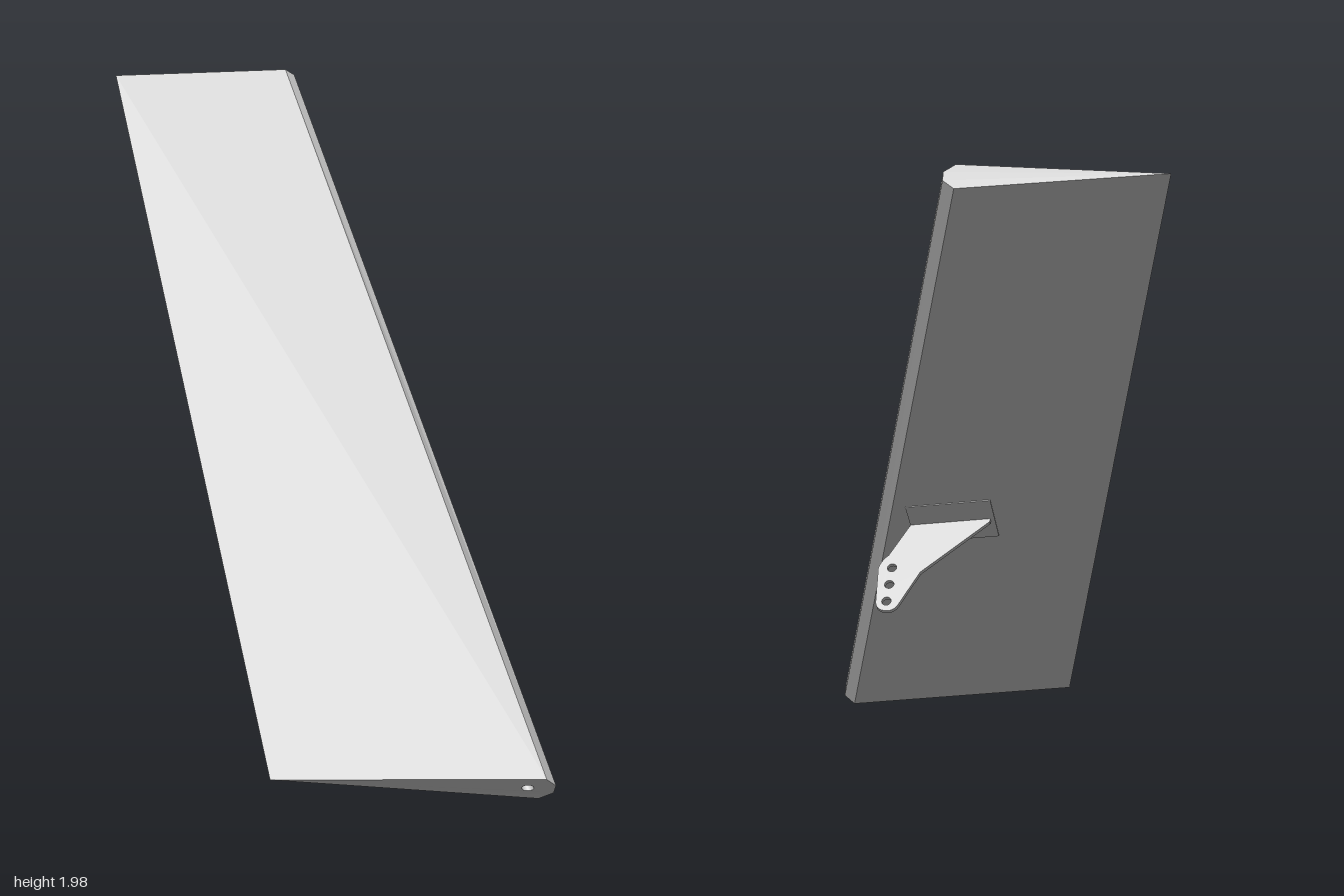
import * as THREE from 'three';

const mat = new THREE.MeshStandardMaterial({ color: 0xcccccc, flatShading: true });
const matDouble = new THREE.MeshStandardMaterial({ color: 0xcccccc, side: THREE.DoubleSide });

// Local frame: x = chord, y = span, z = thickness
const SKEW = -0.087; // span offset per unit of chord along the ribs
const HINGE = -0.2; // chord offset per unit of span along the leading edge

function add(group, name, geometry, material = mat) {
  const mesh = new THREE.Mesh(geometry, material);
  mesh.name = name;
  group.add(mesh);
  return mesh;
}

// Sections run from the trailing edge round the blunt leading edge: [x, z]
const lowSection = [[-0.23, 0.696], [0.535, 0.651], [0.573, 0.684], [0.573, 0.73], [0.54, 0.771]];
const highSection = [[-0.575, 0.688], [0, 0.654], [0.032, 0.683], [0.032, 0.714], [0, 0.741]];
const lowSpan = (x) => -0.643 + (0.535 - Math.min(x, 0.535)) * -SKEW;
const highSpan = (x) => 2.068 - Math.min(x, 0) * 0.043;
const hole = { x: 0.495, z: 0.714, r: 0.017 };

// Tapered skin with a plain far end
function skinGeometry() {
  const low = lowSection.map(([x, z]) => [x, lowSpan(x), z]);
  const high = highSection.map(([x, z]) => [x, highSpan(x), z]);
  const pos = [];
  low.forEach((p, i) => {
    const j = (i + 1) % low.length;
    pos.push(...p, ...high[i], ...high[j], ...p, ...high[j], ...low[j]);
  });
  for (let i = 1; i < high.length - 1; i++) pos.push(...high[0], ...high[i + 1], ...high[i]);
  const g = new THREE.BufferGeometry();
  g.setAttribute('position', new THREE.Float32BufferAttribute(pos, 3));
  g.computeVertexNormals();
  return g;
}

// Near end cap, pierced by the hinge hole
function capGeometry() {
  const shape = new THREE.Shape(lowSection.map(([x, z]) => new THREE.Vector2(x, z)));
  shape.holes.push(new THREE.Path().absarc(hole.x, hole.z, hole.r, 0, Math.PI * 2, true));
  const g = new THREE.ShapeGeometry(shape, 12);
  const p = g.attributes.position;
  for (let i = 0; i < p.count; i++) {
    const x = p.getX(i);
    p.setXYZ(i, x, lowSpan(x), p.getY(i));
  }
  g.computeVertexNormals();
  return g;
}

// Blind bore running parallel to the leading edge
function boreGeometry(depth) {
  const g = new THREE.CylinderGeometry(hole.r, hole.r, depth, 24, 1, true).translate(0, depth / 2, 0);
  g.applyMatrix4(new THREE.Matrix4().set(1, HINGE, 0, hole.x, SKEW, 1, 0, lowSpan(hole.x), 0, 0, 1, hole.z, 0, 0, 0, 1));
  return g;
}

// Cranked horn plate with three linkage holes, drawn in x and z
function hornGeometry() {
  const s = new THREE.Shape();
  s.moveTo(-0.015, 0.69);
  s.lineTo(-0.01, 0.655);
  s.lineTo(0.2, 0.472);
  s.lineTo(0.262, 0.352);
  s.quadraticCurveTo(0.275, 0.33, 0.3, 0.333);
  s.quadraticCurveTo(0.333, 0.337, 0.333, 0.37);
  s.lineTo(0.335, 0.49);
  s.quadraticCurveTo(0.33, 0.518, 0.305, 0.54);
  s.lineTo(0.245, 0.65);
  s.lineTo(0.24, 0.69);
  s.closePath();
  for (const [x, z] of [[0.299, 0.368], [0.295, 0.43], [0.291, 0.492]]) {
    s.holes.push(new THREE.Path().absarc(x, z, 0.015, 0, Math.PI * 2, true));
  }
  const t = 0.014;
  const g = new THREE.ExtrudeGeometry(s, { depth: t, bevelEnabled: false, curveSegments: 10 });
  g.translate(0, 0, -t / 2).rotateX(Math.PI / 2);
  return g;
}

export function createModel() {
  const model = new THREE.Group();
  model.name = 'controlSurface';
  const panel = new THREE.Group();
  panel.name = 'panel';
  panel.rotation.x = -Math.PI / 4;
  model.add(panel);

  add(panel, 'skin', skinGeometry());
  add(panel, 'endCap', capGeometry(), matDouble);
  add(panel, 'hingeBore', boreGeometry(0.3), matDouble);

  // Horn and its mounting plate on the underside
  const horn = add(panel, 'controlHorn', hornGeometry());
  horn.position.y = 0.499;
  horn.rotation.z = SKEW;
  const plate = add(panel, 'hornPlate', new THREE.BoxGeometry(0.27, 0.2, 0.012));
  plate.position.set(0.11, 0.495, 0.666);
  plate.rotation.set(0, 0.055, SKEW);
  return model;
}
